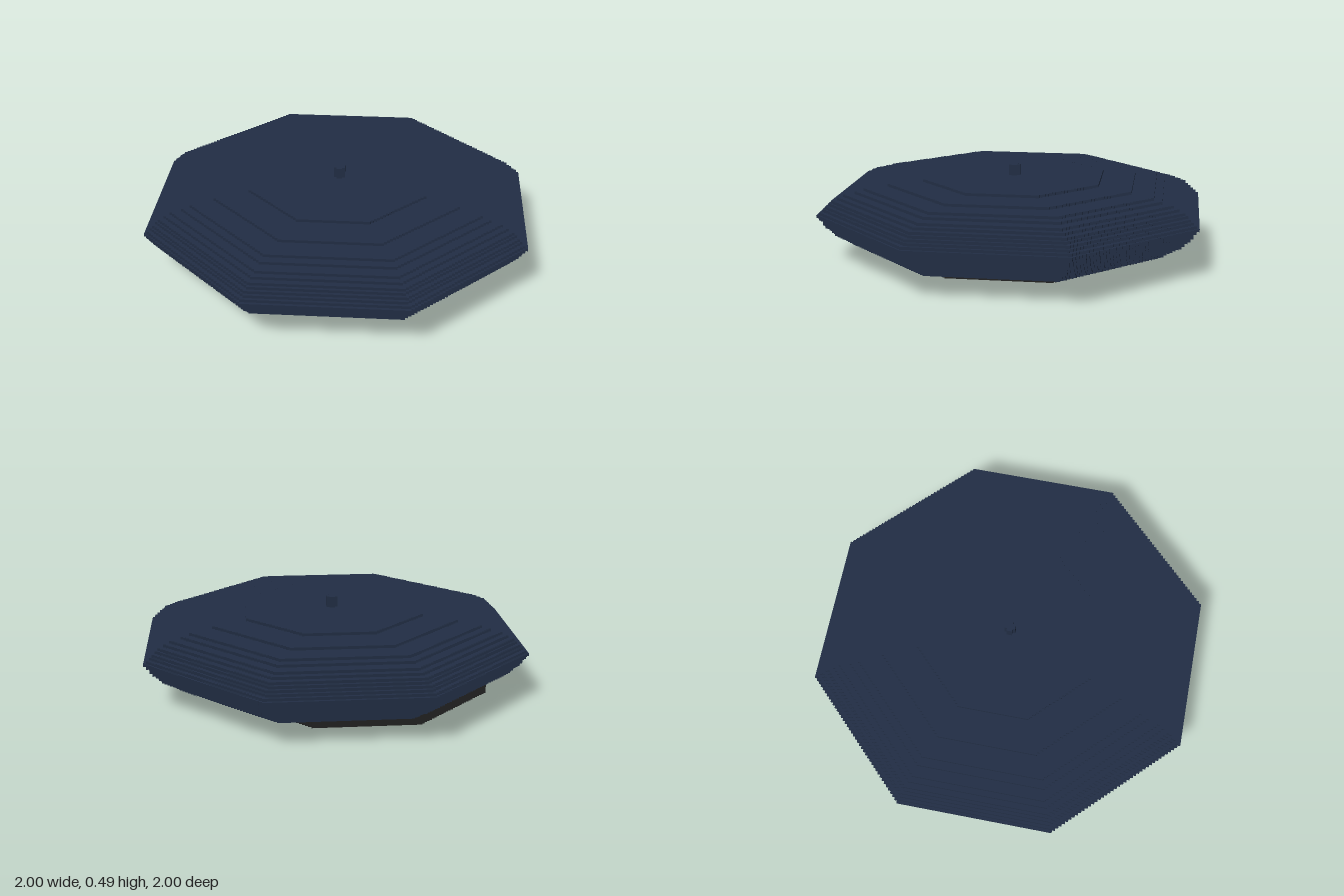
import * as THREE from 'three';

const CELL = 1 / 68; // edge of one block

// Octagon of half width r (in blocks) whose diagonals are cut in one-block stairs
function steppedOctagon(r) {
  const flat = Math.round(r * 0.414);
  const corner = [[flat, r]];
  for (let x = flat, y = r; x < r; x++, y--) {
    corner.push([x, y - 1], [x + 1, y - 1]);
  }
  const points = [];
  for (let quarter = 0; quarter < 4; quarter++) {
    for (const [x, y] of corner) {
      let px = x, py = y;
      for (let i = 0; i < quarter; i++) [px, py] = [py, -px]; // quarter turn
      points.push(new THREE.Vector2(px * CELL, py * CELL));
    }
  }
  return new THREE.Shape(points.reverse());
}

// Upright slab from block row y, a number of rows tall
function slab(name, r, y, rows, material) {
  const geometry = new THREE.ExtrudeGeometry(steppedOctagon(r), {
    depth: rows * CELL, bevelEnabled: false,
  });
  geometry.rotateX(-Math.PI / 2);
  const mesh = new THREE.Mesh(geometry, material);
  mesh.name = name;
  mesh.position.y = y * CELL;
  return mesh;
}

export function createModel() {
  const navy = new THREE.MeshStandardMaterial({ color: 0x222e45 });
  navy.name = 'navy';
  const charcoal = new THREE.MeshStandardMaterial({ color: 0x222222 });
  charcoal.name = 'charcoal';

  const model = new THREE.Group();
  model.name = 'steppedDisc';

  // Base, set off to one side
  const base = slab('base', 47, 0, 6, charcoal);
  base.position.x = -8 * CELL;
  model.add(base);

  // Bulging body: one slab per row, listed from the bottom up
  const body = new THREE.Group();
  body.name = 'body';
  const radii = [
    56, 57, 59, 60, 62, 63, 64, 65, 66, 66, 67, 68,
    67, 66, 65, 64, 63, 61, 59, 55, 52, 44, 32,
  ];
  radii.forEach((r, i) => body.add(slab('bodyLayer' + (i + 1), r, 6 + i, 1, navy)));
  model.add(body);

  // Small post on top
  model.add(slab('topPost', 2, 6 + radii.length, 4, navy));

  return model;
}
